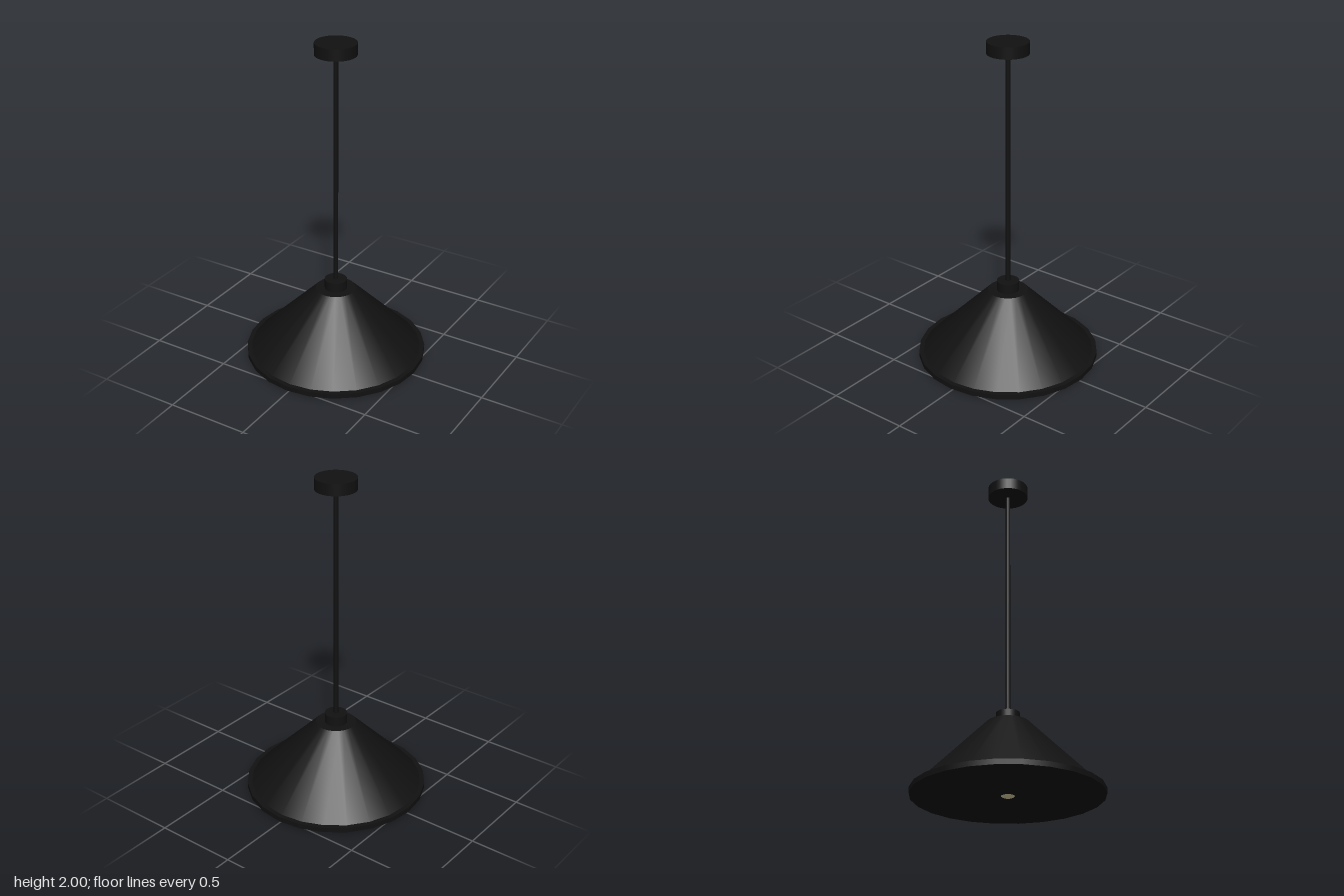
import * as THREE from 'three';

export function createModel() {
  const lamp = new THREE.Group();
  lamp.name = 'pendantLamp';

  const black = new THREE.MeshStandardMaterial({ color: 0x111111 });
  black.name = 'matte black';
  const glow = new THREE.MeshStandardMaterial({ color: 0xf8e8b8 });
  glow.name = 'warm bulb glass';

  // Upright round part between two heights
  function round(name, rTop, rBottom, y0, y1, sides) {
    const mesh = new THREE.Mesh(new THREE.CylinderGeometry(rTop, rBottom, y1 - y0, sides), black);
    mesh.name = name;
    mesh.position.y = (y0 + y1) / 2;
    lamp.add(mesh);
  }

  round('ceilingCanopy', 0.122, 0.122, 1.93, 2, 32);
  round('rod', 0.014, 0.014, 0.5, 1.935, 12);
  round('collar', 0.068, 0.068, 0.44, 0.505, 24);
  round('shade', 0.122, 0.53, 0.035, 0.445, 24);
  round('rim', 0.55, 0.55, 0.013, 0.043, 24);

  // Bulb showing just below the closed underside
  const bulb = new THREE.Mesh(new THREE.SphereGeometry(0.068, 16, 12), glow);
  bulb.name = 'bulb';
  bulb.position.y = 0.068;
  lamp.add(bulb);

  return lamp;
}
